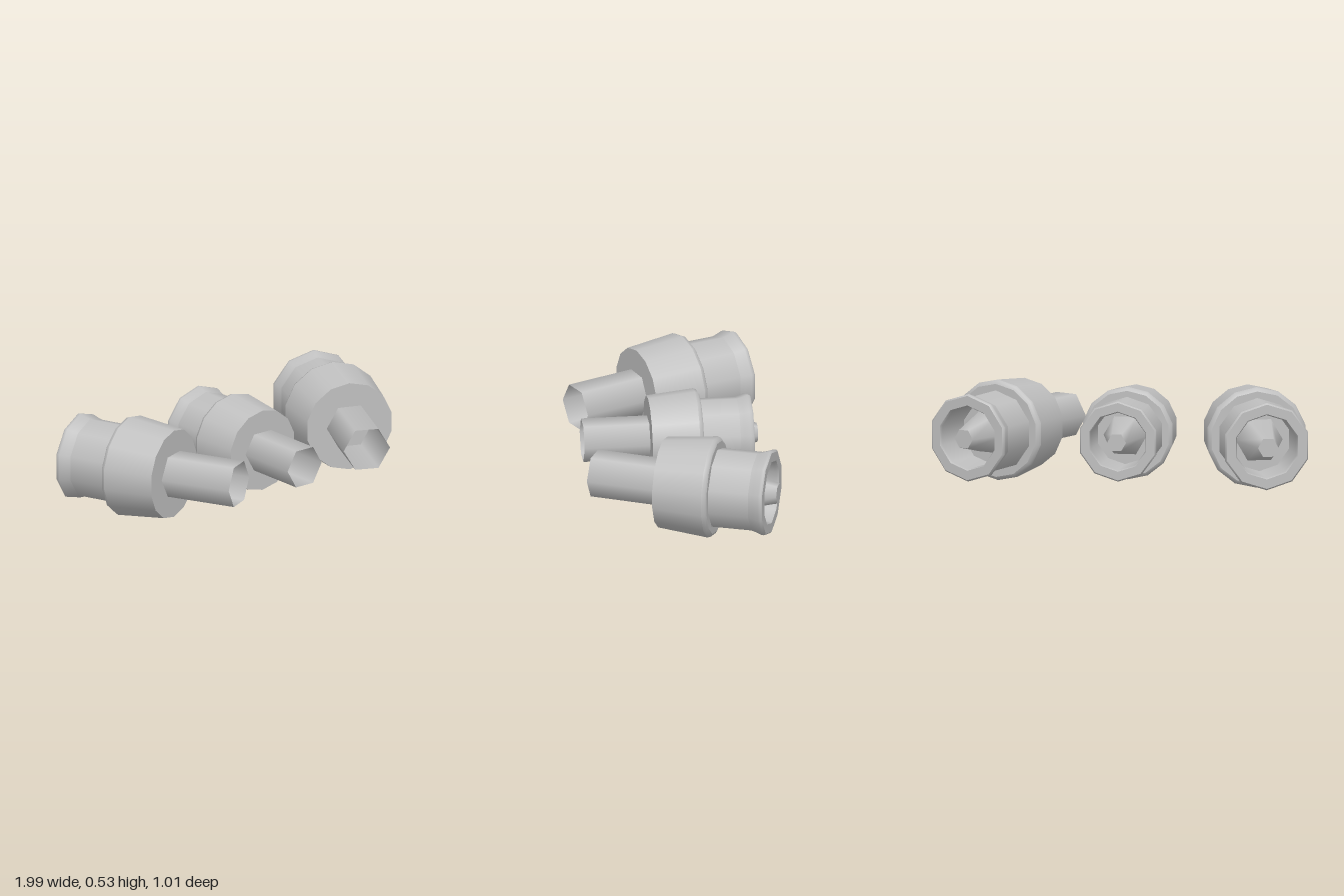
import * as THREE from 'three';
import { mergeGeometries } from 'three/addons/utils/BufferGeometryUtils.js';

const metal = new THREE.MeshStandardMaterial({ color: 0xc0c0c0 });
metal.name = 'grey metal';
const openMetal = metal.clone();
openMetal.side = THREE.DoubleSide;

// Turns strips of [radius, distance backwards] about the z axis.
// Each strip is smooth; edges between strips stay sharp.
function turned(name, sides, strips, material = metal, start = 0) {
  const parts = strips.map((strip) =>
    new THREE.LatheGeometry(strip.map(([r, s]) => new THREE.Vector2(r, s)), sides, start));
  const geometry = mergeGeometries(parts).rotateX(-Math.PI / 2);
  const mesh = new THREE.Mesh(geometry, material);
  mesh.name = name;
  return mesh;
}

function createNozzle(name, tubeAngle) {
  const nozzle = new THREE.Group();
  nozzle.name = name;

  // Wide collar, widening towards the back with a rounded shoulder
  nozzle.add(turned('collar', 14, [
    [[0, 0], [0.237, 0]],
    [[0.237, 0], [0.265, 0.268]],
    [[0.265, 0.268], [0.259, 0.284], [0.245, 0.292]],
    [[0.245, 0.292], [0.18, 0.292]],
  ]));

  // Hollow bell with a flared lip
  nozzle.add(turned('bell', 10, [
    [[0.211, 0.27], [0.211, 0.505]],
    [[0.211, 0.505], [0.218, 0.53], [0.23, 0.562], [0.23, 0.575], [0.222, 0.583]],
    [[0.222, 0.583], [0.172, 0.583]],
    [[0.172, 0.583], [0.165, 0.57], [0.165, 0.35]],
    [[0.165, 0.35], [0, 0.35]],
  ]));

  // Tapered six-sided plug inside the bell
  nozzle.add(turned('plug', 6, [
    [[0.125, 0.345], [0.054, 0.62]],
    [[0.054, 0.62], [0, 0.62]],
  ], metal, Math.PI / 2));

  // Open six-sided feed tube at the front
  const tube = turned('feedTube', 6, [[[0.124, -0.375], [0.124, 0.02]]], openMetal, Math.PI / 2);
  tube.rotation.y = tubeAngle;
  nozzle.add(tube);
  return nozzle;
}

export function createModel() {
  const model = new THREE.Group();
  model.name = 'nozzles';
  const deg = Math.PI / 180;

  const centre = createNozzle('centreNozzle', 0);
  centre.scale.setScalar(0.92);
  centre.position.set(0, 0.267, 0.12);
  model.add(centre);

  // Larger outer pair, splayed outwards at the back
  for (const side of [-1, 1]) {
    const nozzle = createNozzle(side > 0 ? 'leftNozzle' : 'rightNozzle', -side * 5 * deg);
    nozzle.position.set(side * 0.59, 0.266, 0.112);
    nozzle.rotation.y = -side * 20.3 * deg;
    model.add(nozzle);
  }
  return model;
}
